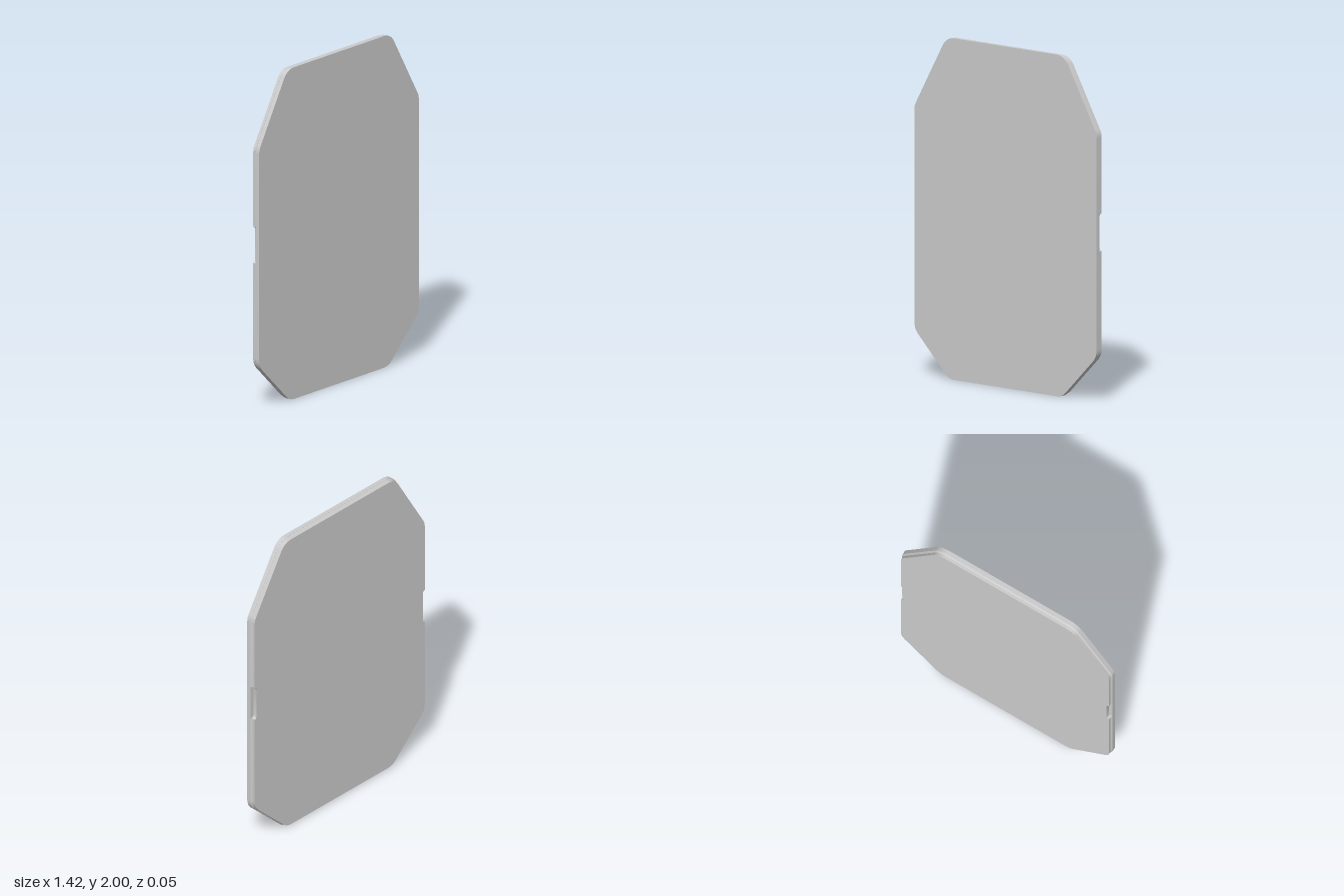
import * as THREE from 'three';
import { toCreasedNormals } from 'three/addons/utils/BufferGeometryUtils.js';

const HALF = 0.712, RADIUS = 0.1, THICK = 0.026;
const NOTCH = { low: 0.88, high: 1.1, depth: 0.024, round: 0.02 };

// Corners of the right half, bottom to top, before rounding
const RIGHT = [[0.44, 0], [HALF, 0.265], [HALF, 1.57], [0.461, 2]];

// Rounded grip notch in the right edge, bottom to top
function notchPoints(edge) {
  const { low, high, depth, round } = NOTCH;
  const floor = HALF - depth, pts = [[edge, low]];
  for (let i = 0; i <= 6; i++) {
    const a = (i / 6) * Math.PI / 2;
    pts.push([floor + round * (1 - Math.sin(a)) * 0.8, low + round * (1 - Math.cos(a))]);
  }
  const upper = pts.map(([x, y]) => [x, low + high - y]).reverse();
  return [...pts, ...upper];
}

// Counter-clockwise outline with rounded corners, shrunk evenly by inset
function outline(inset, notched) {
  const sharp = RIGHT.map(([x, y]) => new THREE.Vector2(x, y));
  const path = [new THREE.Vector2(-0.44, 0), ...sharp, new THREE.Vector2(-0.461, 2)];
  const half = [];
  for (let i = 1; i <= 4; i++) {
    const d0 = path[i].clone().sub(path[i - 1]).normalize();
    const d1 = path[i + 1].clone().sub(path[i]).normalize();
    const a0 = Math.atan2(-d0.x, d0.y), a1 = Math.atan2(-d1.x, d1.y);
    let turn = a1 - a0;
    if (turn < 0) turn += Math.PI * 2;
    const t = RADIUS * Math.tan(turn / 2);
    // Arc centre, inside the edge that arrives at the corner
    const cx = path[i].x - d0.x * t - d0.y * RADIUS;
    const cy = path[i].y - d0.y * t + d0.x * RADIUS;
    const start = Math.atan2(-d0.x, d0.y);
    for (let k = 0; k <= 10; k++) {
      const a = start + turn * k / 10;
      half.push([cx + (RADIUS - inset) * Math.cos(a), cy + (RADIUS - inset) * Math.sin(a)]);
    }
    if (i === 2 && notched) half.push(...notchPoints(HALF - inset));
  }
  const left = half.map(([x, y]) => [-x, y]).reverse();
  return [...half, ...left].map(([x, y]) => new THREE.Vector2(x, y));
}

// Closed solid through layers of [inset, z], listed from back to front
function loft(layers, notched) {
  const loops = layers.map(([inset, z]) =>
    outline(inset, notched).map((p) => new THREE.Vector3(p.x, p.y, z)));
  const n = loops[0].length, pts = [];
  for (let i = 0; i < loops.length - 1; i++) {
    for (let j = 0; j < n; j++) {
      const k = (j + 1) % n;
      const a = loops[i][j], b = loops[i][k], c = loops[i + 1][k], d = loops[i + 1][j];
      pts.push(a, b, c, a, c, d);
    }
  }
  const back = loops[0], front = loops[loops.length - 1];
  const cap = (loop) => THREE.ShapeUtils.triangulateShape(loop.map((p) => new THREE.Vector2(p.x, p.y)), []);
  for (const [a, b, c] of cap(back)) pts.push(back[a], back[c], back[b]);
  for (const [a, b, c] of cap(front)) pts.push(front[a], front[b], front[c]);
  const geometry = new THREE.BufferGeometry().setFromPoints(pts);
  return toCreasedNormals(geometry, 0.4);
}

export function createModel() {
  const group = new THREE.Group();
  group.name = 'panel';
  const material = new THREE.MeshStandardMaterial({ color: 0xcccccc });
  const add = (name, geometry) => {
    const mesh = new THREE.Mesh(geometry, material);
    mesh.name = name;
    group.add(mesh);
  };

  // Full-size front plate
  add('frontPlate', loft([[0, 0], [0, THICK]], false));
  // Slightly smaller back plate with a sloped shoulder and two side notches
  add('backPlate', loft([[0.008, -THICK], [0.008, -0.008], [0.001, 0]], true));
  return group;
}
